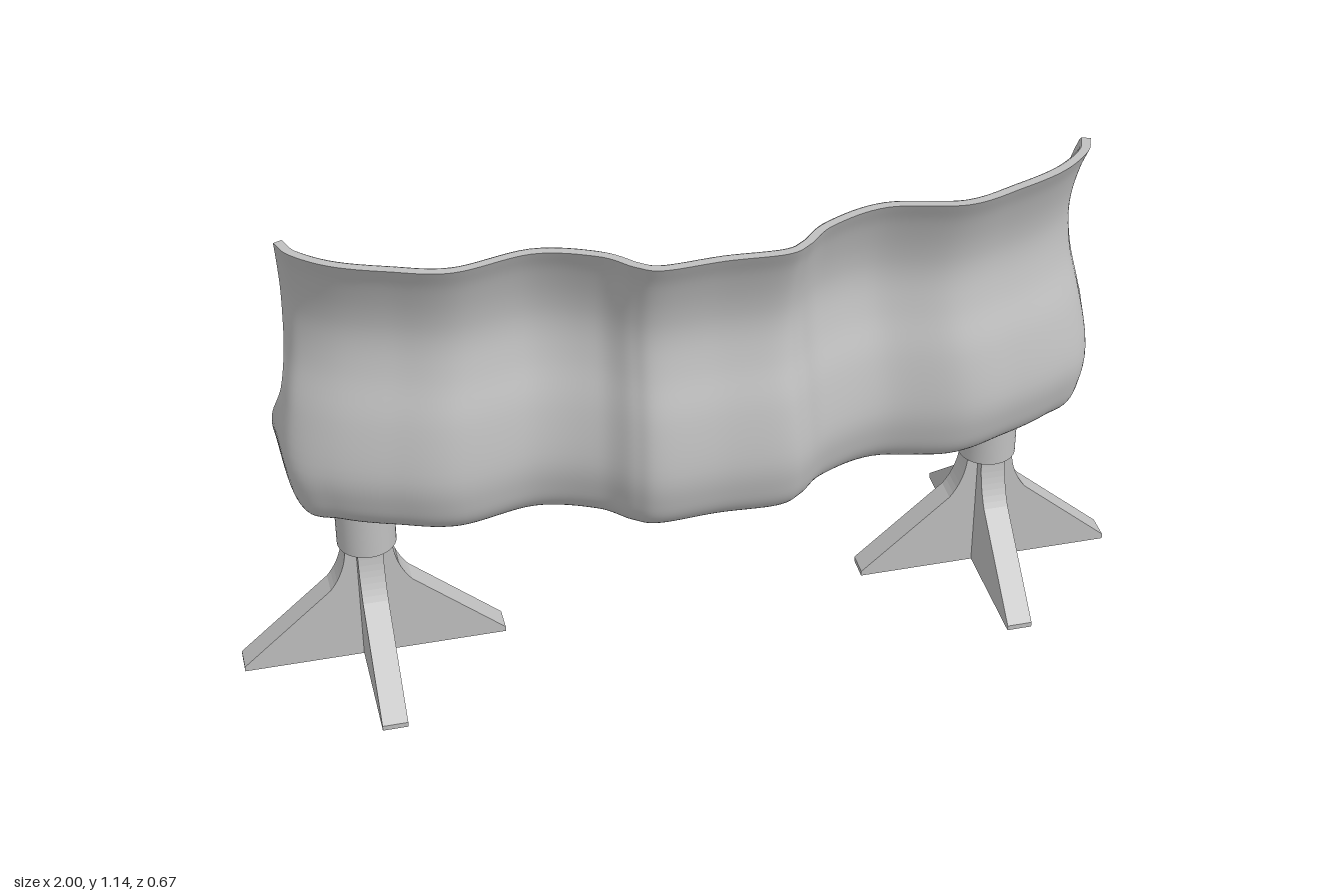
import * as THREE from 'three';

const V = (x, y, z) => new THREE.Vector3(x, y, z);
const THICK = 0.02;

// Half-plan stations: back line x, z and seat front edge x, z
const STATIONS = [
  [0, 0.325, 0, -0.13], [0.13, 0.33, 0.14, -0.135], [0.185, 0.305, 0.2, -0.135],
  [0.25, 0.25, 0.26, -0.145], [0.38, 0.21, 0.36, -0.17], [0.55, 0.24, 0.48, -0.215],
  [0.68, 0.205, 0.59, -0.257], [0.79, 0.16, 0.67, -0.258], [0.865, 0.1, 0.72, -0.255],
];
// Wall profile, top to bottom: height, shift forward, shift towards the middle
const WALL = [
  [1.14, 0, 0.035], [1.08, 0.03, 0.04], [1, 0.055, 0.045], [0.93, 0.062, 0.045],
  [0.85, 0.048, 0.04], [0.75, 0.018, 0.02], [0.63, 0, 0], [0.55, 0.01, 0.005],
  [0.5, 0.03, 0.015], [0.465, 0.07, 0.03], [0.45, 0.13, 0.055],
];
// Free edge of the side wing, sweeping down into the seat corner
const WING = [
  [0.855, 1.14, 0.05], [0.85, 1.08, 0.02], [0.845, 1, -0.01], [0.845, 0.93, -0.015],
  [0.85, 0.85, 0], [0.865, 0.77, 0.02], [0.885, 0.7, 0], [0.885, 0.63, -0.045],
  [0.875, 0.58, -0.08], [0.855, 0.54, -0.12], [0.83, 0.51, -0.16],
  [0.805, 0.485, -0.2], [0.78, 0.465, -0.23], [0.75, 0.453, -0.252],
];

function section([bx, bz, fx, fz]) {
  const pts = WALL.map(([y, dz, dx]) => V(bx - dx * bx / 0.89, y, bz - dz));
  const foot = pts[pts.length - 1], front = V(fx, 0.452, fz);
  for (const t of [0.33, 0.67, 1]) pts.push(foot.clone().lerp(front, t));
  return pts;
}

// Smooth grid of points through the mirrored sections
function shellGrid(nu, nv) {
  const half = [...STATIONS.map(section), WING.map(p => V(...p))];
  const mirrored = half.slice(1).reverse().map(s => s.map(p => V(-p.x, p.y, p.z)));
  const rails = [...mirrored, ...half].map(s => new THREE.CatmullRomCurve3(s, false, 'catmullrom', 0.5));
  const grid = Array.from({ length: nu + 1 }, () => []);
  for (let j = 0; j <= nv; j++) {
    const cross = new THREE.CatmullRomCurve3(rails.map(r => r.getPoint(j / nv)), false, 'catmullrom', 0.5);
    for (let i = 0; i <= nu; i++) grid[i].push(cross.getPoint(i / nu));
  }
  return grid;
}

function gridGeometry(grid, flip) {
  const nv = grid[0].length, index = [];
  for (let i = 0; i < grid.length - 1; i++) {
    for (let j = 0; j < nv - 1; j++) {
      const a = i * nv + j, b = a + 1, c = a + nv, d = c + 1;
      if (flip) index.push(a, c, b, b, c, d);
      else index.push(a, b, c, b, d, c);
    }
  }
  const geo = new THREE.BufferGeometry().setFromPoints(grid.flat());
  geo.setIndex(index);
  geo.computeVertexNormals();
  return geo;
}

// Outer skin, inner skin and the thin rim joining them
function makeShell(material) {
  const shell = new THREE.Group();
  shell.name = 'benchShell';
  const outer = shellGrid(144, 65), nv = outer[0].length;
  const outerGeo = gridGeometry(outer, false);
  const normals = outerGeo.attributes.normal;
  const inner = outer.map((col, i) => col.map((p, j) =>
    p.clone().addScaledVector(V().fromBufferAttribute(normals, i * nv + j), -THICK)));
  // keep the top rim level
  inner.forEach((col, i) => { col[0].y = outer[i][0].y; });

  const add = (geo, name) => {
    const mesh = new THREE.Mesh(geo, material);
    mesh.name = name;
    shell.add(mesh);
  };
  add(outerGeo, 'shellOutside');
  add(gridGeometry(inner, true), 'shellInside');
  const strip = (a, b, flip) => gridGeometry(a.map((p, i) => [p, b[i]]), flip);
  const last = outer.length - 1;
  add(strip(outer.map(c => c[0]), inner.map(c => c[0]), true), 'topRim');
  add(strip(outer.map(c => c[nv - 1]), inner.map(c => c[nv - 1]), false), 'seatFrontRim');
  add(strip(outer[0], inner[0], false), 'rightWingRim');
  add(strip(outer[last], inner[last], true), 'leftWingRim');
  return shell;
}

// Flared fin plate, open underneath
function finGeometry() {
  const s = new THREE.Shape();
  s.moveTo(-0.2925, 0);
  s.lineTo(0.2925, 0);
  s.lineTo(0.2925, 0.012);
  s.lineTo(0.09, 0.19);
  s.quadraticCurveTo(0.055, 0.235, 0.052, 0.297);
  s.lineTo(-0.052, 0.297);
  s.quadraticCurveTo(-0.055, 0.235, -0.09, 0.19);
  s.lineTo(-0.2925, 0.012);
  s.closePath();
  const raw = new THREE.ExtrudeGeometry(s, { depth: 0.056, bevelEnabled: false, curveSegments: 8 });
  raw.translate(0, 0, -0.028);
  const p = raw.attributes.position, kept = [];
  for (let i = 0; i < p.count; i += 3) {
    const tri = [0, 1, 2].map(k => V().fromBufferAttribute(p, i + k));
    if (tri.some(v => v.y > 1e-5)) kept.push(...tri);
  }
  const geo = new THREE.BufferGeometry().setFromPoints(kept);
  geo.computeVertexNormals();
  return geo;
}

function makeLeg(material, name) {
  const leg = new THREE.Group();
  leg.name = name;
  const post = new THREE.Mesh(new THREE.CylinderGeometry(0.065, 0.065, 0.16, 40), material);
  post.name = 'post';
  post.position.y = 0.375;
  leg.add(post);
  const fin = finGeometry();
  for (const turn of [0, Math.PI / 2]) {
    const mesh = new THREE.Mesh(fin, material);
    mesh.name = turn ? 'lengthwiseFin' : 'crosswiseFin';
    mesh.rotation.y = turn;
    leg.add(mesh);
  }
  return leg;
}

export function createModel() {
  const grey = new THREE.MeshStandardMaterial({ color: 0xc0c0c0, side: THREE.DoubleSide });
  grey.name = 'light grey';
  const model = new THREE.Group();
  model.name = 'bench';
  model.add(makeShell(grey));
  for (const side of [-1, 1]) {
    const leg = makeLeg(grey, side > 0 ? 'leftLeg' : 'rightLeg');
    leg.position.set(side * 0.7075, 0, -0.042);
    model.add(leg);
  }
  return model;
}
